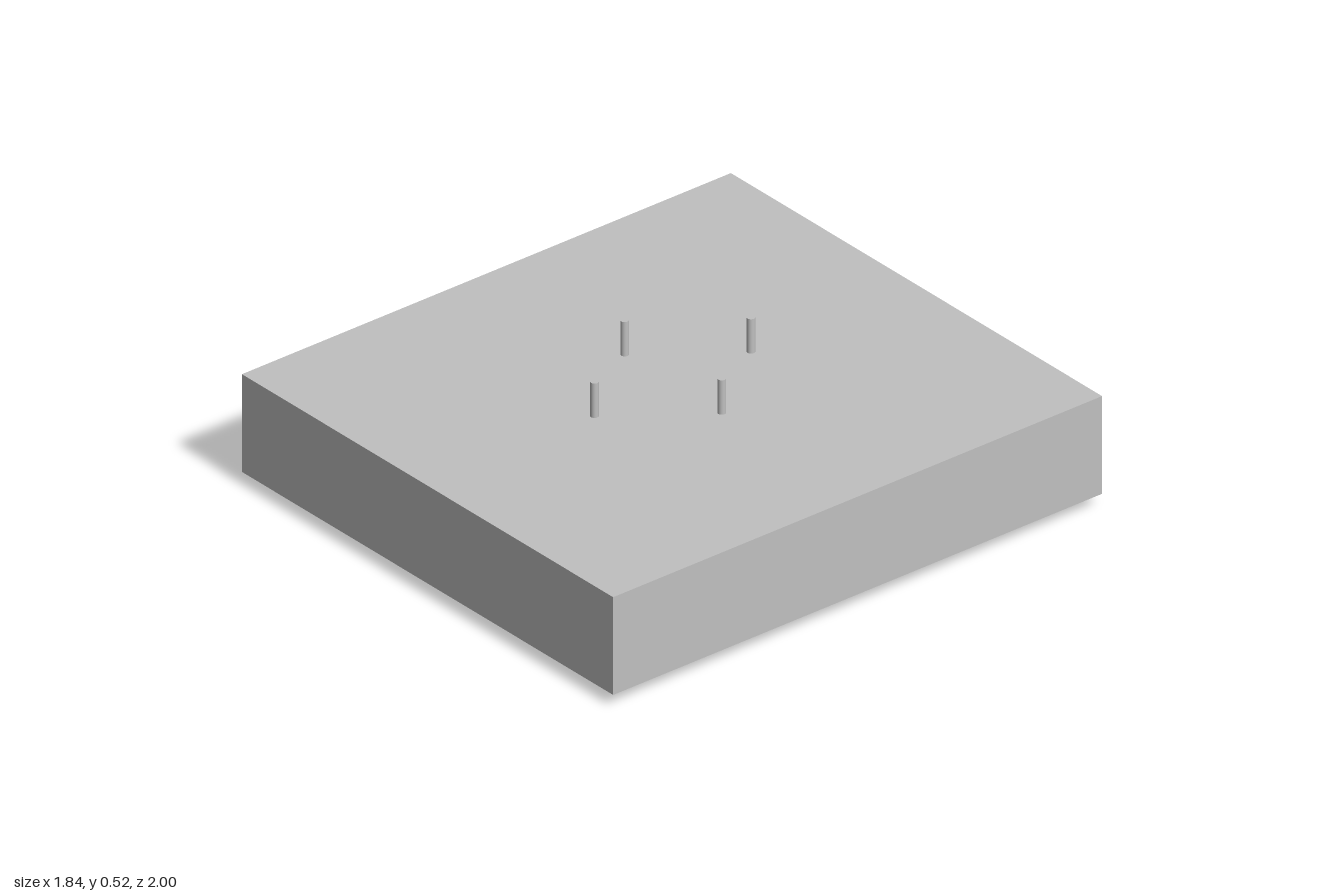
import * as THREE from 'three';

export function createModel() {
  const model = new THREE.Group();
  const grey = new THREE.MeshStandardMaterial({ color: 0xc0c0c0 });
  grey.name = 'light grey';

  const add = (name, geometry, x, y, z) => {
    const mesh = new THREE.Mesh(geometry, grey);
    mesh.name = name;
    mesh.position.set(x, y, z);
    model.add(mesh);
    return mesh;
  };

  // Thick slab, lifted slightly by the pins
  add('slab', new THREE.BoxGeometry(1.835, 0.355, 2), 0, 0.222, 0);

  // Four round pins passing right through the slab
  const pinHeight = 0.524;
  const pin = new THREE.CylinderGeometry(0.014, 0.014, pinHeight, 16);
  const pinSpots = {
    leftPin: [0.234, -0.01],
    rightPin: [-0.246, -0.01],
    frontPin: [-0.006, 0.312],
    backPin: [-0.006, -0.328],
  };
  for (const [name, [x, z]] of Object.entries(pinSpots)) {
    add(name, pin, x, pinHeight / 2, z);
  }

  // Tiny slanted splinter under the middle of the slab
  const splinter = add('splinter', new THREE.BoxGeometry(0.004, 0.003, 0.036), -0.006, 0.036, 0.023);
  splinter.rotation.x = 0.46;

  return model;
}
